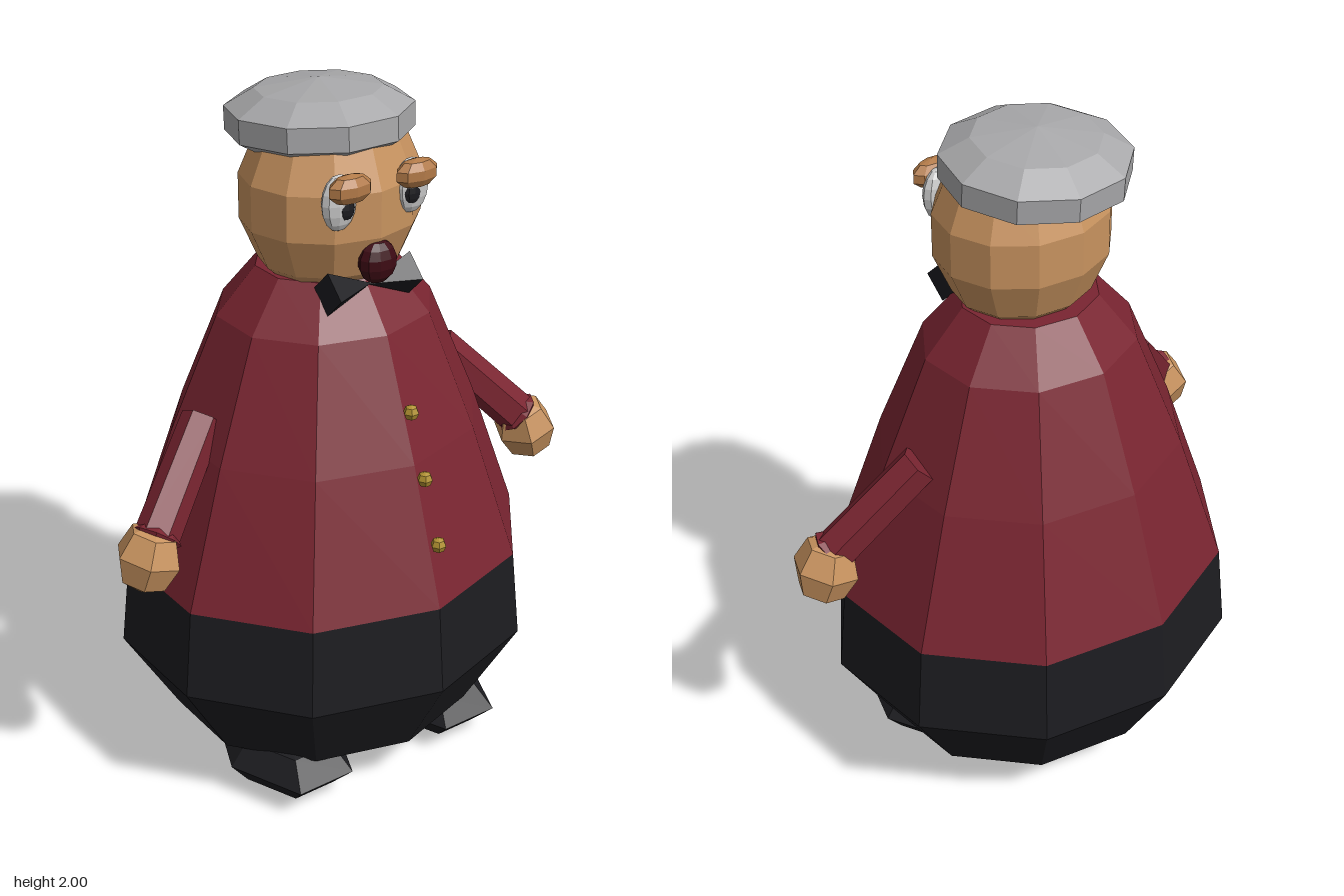
import * as THREE from 'three';

const paint = (color) =>
  new THREE.MeshStandardMaterial({ color, flatShading: true, side: THREE.DoubleSide });

export function createModel() {
  const model = new THREE.Group();
  const red = paint(0x7a2531), black = paint(0x1c1c20), skin = paint(0xc8935f);
  const brow = paint(0xb27a48), gold = paint(0xb09030), grey = paint(0xa8a8aa);
  const white = paint(0xdddddd), wine = paint(0x3d0b14);

  function add(name, geometry, material, position = [0, 0, 0], scale = [1, 1, 1], parent = model) {
    const mesh = new THREE.Mesh(geometry, material);
    mesh.name = name;
    mesh.position.set(...position);
    mesh.scale.set(...scale);
    parent.add(mesh);
    return mesh;
  }
  const lathe = (points, sides) =>
    new THREE.LatheGeometry(points.map(([r, y]) => new THREE.Vector2(r, y)), sides);
  const ball = (w, h) => new THREE.SphereGeometry(1, w, h);

  // Pear-shaped body: trousers below, jacket above
  const wide = [1.1, 1, 1];
  add('trousers', lathe([[0, 0.15], [0.415, 0.15], [0.56, 0.41], [0.535, 0.665]], 10), black, [0, 0, 0], wide);
  add('jacket', lathe([[0.535, 0.665], [0.41, 1.05], [0.282, 1.38], [0.18, 1.51], [0, 1.51]], 10), red, [0, 0, 0], wide);

  // Jacket buttons
  for (const [y, z] of [[1.2, 0.39], [1.03, 0.455], [0.86, 0.52]])
    add('button', ball(6, 4), gold, [0, y, z], [0.022, 0.022, 0.022]);

  // Head, mouth and cap
  add('head', ball(12, 7), skin, [0, 1.705, 0.025], [0.256, 0.28, 0.23]);
  add('mouth', ball(10, 7), wine, [0, 1.575, 0.235], [0.057, 0.06, 0.04]);
  const cap = add('cap', lathe([[0, -0.085], [0.2, -0.085], [0.25, -0.055], [0.25, 0.01],
    [0.17, 0.055], [0, 0.08]], 10), grey, [0, 1.92, -0.025]);
  cap.geometry.rotateY(Math.PI / 10);
  cap.rotation.x = -0.05;

  const up = new THREE.Vector3(0, 1, 0);
  for (const s of [1, -1]) {
    const side = s > 0 ? 'left' : 'right';

    // Eye under a heavy brow
    add(side + 'Eye', ball(10, 8), white, [s * 0.115, 1.755, 0.222], [0.052, 0.075, 0.03]);
    add(side + 'Pupil', ball(8, 6), black, [s * 0.105, 1.742, 0.242], [0.026, 0.03, 0.012]);
    add(side + 'Brow', ball(8, 5), brow, [s * 0.105, 1.8, 0.257], [0.068, 0.04, 0.034]);

    // Half of the bow tie, its point at the centre
    const bow = add(side + 'Bow', new THREE.ConeGeometry(0.06, 0.14, 4), black, [s * 0.063, 1.5, 0.2]);
    bow.rotation.z = s * Math.PI / 2;

    // Sleeve with cuff and hand
    const shoulder = new THREE.Vector3(s * 0.4, 1.14, 0);
    const wrist = new THREE.Vector3(s * 0.62, 0.9, 0.11);
    const dir = wrist.clone().sub(shoulder);
    const turn = new THREE.Quaternion().setFromUnitVectors(up, dir.clone().normalize());
    const middle = shoulder.clone().lerp(wrist, 0.5);
    const sleeve = add(side + 'Sleeve', new THREE.CylinderGeometry(0.062, 0.058, dir.length(), 6), red, middle.toArray());
    sleeve.quaternion.copy(turn);
    const cuffShape = new THREE.TorusGeometry(0.052, 0.018, 4, 8).rotateX(Math.PI / 2);
    add(side + 'Cuff', cuffShape, red, wrist.toArray()).quaternion.copy(turn);
    const hand = add(side + 'Hand', ball(6, 4), skin, [s * 0.65, 0.85, 0.115], [0.09, 0.1, 0.098]);
    hand.rotation.z = s * 0.3;

    // Shoe
    add(side + 'Shoe', ball(6, 4), black, [s * 0.26, 0.095, 0.16], [0.18, 0.095, 0.25]);
  }
  return model;
}
